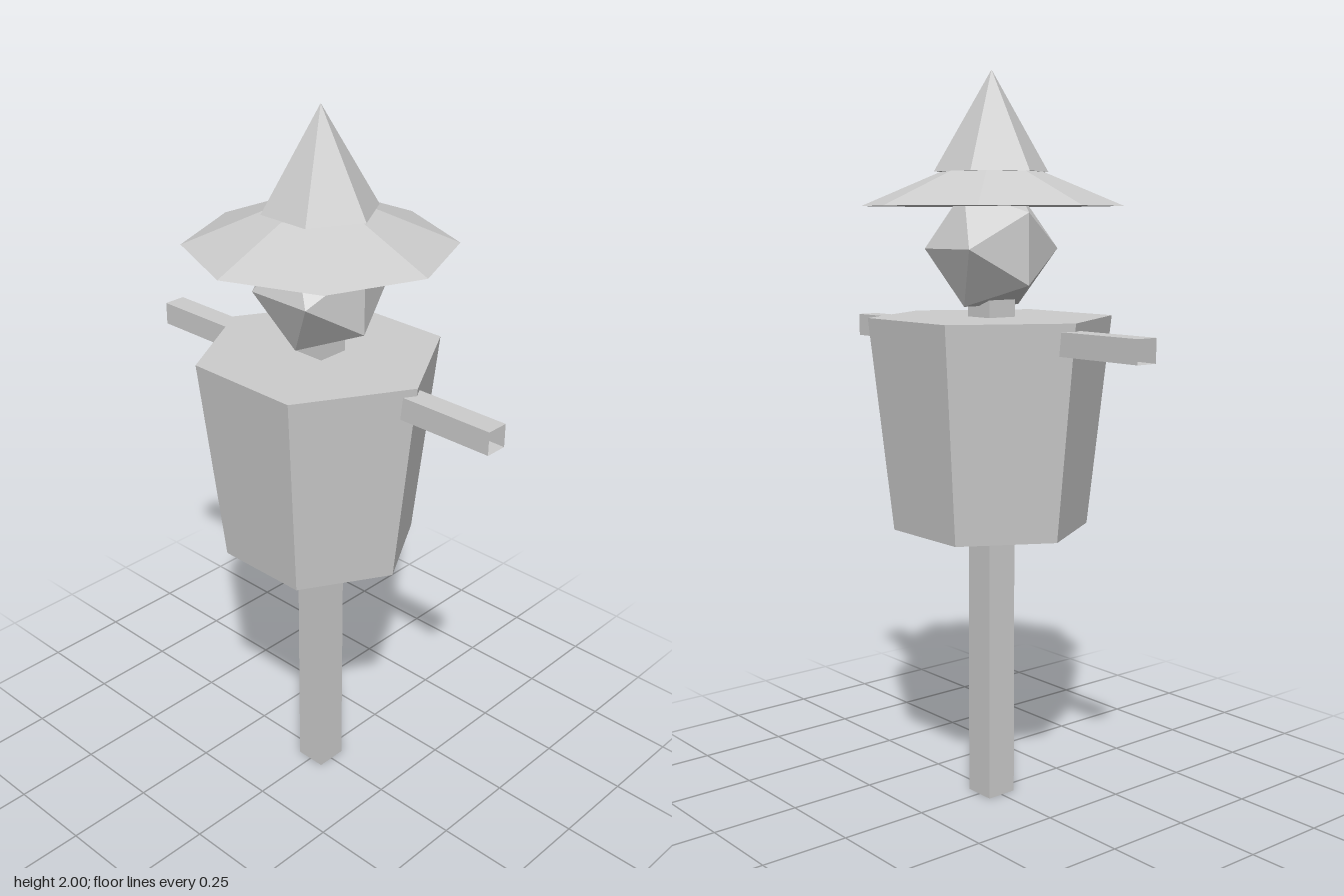
import * as THREE from 'three';

export function createModel() {
  const model = new THREE.Group();
  const grey = new THREE.MeshStandardMaterial({ color: 0xcccccc, flatShading: true, side: THREE.DoubleSide });
  grey.name = 'plain grey';

  const add = (name, geometry, y) => {
    const mesh = new THREE.Mesh(geometry, grey);
    mesh.name = name;
    mesh.position.y = y;
    model.add(mesh);
    return mesh;
  };

  // Faceted ring standing on y = 0, turned about its axis
  const prism = (top, bottom, height, sides, turn, open) =>
    new THREE.CylinderGeometry(top, bottom, height, sides, 1, open)
      .rotateY(turn).translate(0, height / 2, 0);

  // Square tube with open ends
  const squareTube = (width, length) =>
    prism(width / Math.SQRT2, width / Math.SQRT2, length, 4, Math.PI / 4, true);

  // Post and crossbar
  add('post', squareTube(0.09, 1.45), 0);
  const halfSpan = 0.585;
  add('arms', squareTube(0.063, 2 * halfSpan).translate(0, -halfSpan, 0).rotateZ(Math.PI / 2), 1.297);

  // Hollow six-sided coat, closed at the shoulders and open below
  add('coat', prism(0.335, 0.27, 0.58, 6, Math.PI / 6, true), 0.77);
  add('shoulders', new THREE.CircleGeometry(0.335, 6).rotateX(-Math.PI / 2), 1.35);

  // Head
  add('head', new THREE.IcosahedronGeometry(0.18, 0).rotateZ(Math.PI / 2), 1.533);

  // Pointed hat
  add('hatBrim', prism(0.138, 0.354, 0.09, 8, 0, false), 1.645);
  add('hatCrown', new THREE.ConeGeometry(0.155, 0.265, 6).rotateY(Math.PI / 6).translate(0, 0.1325, 0), 1.735);

  return model;
}
